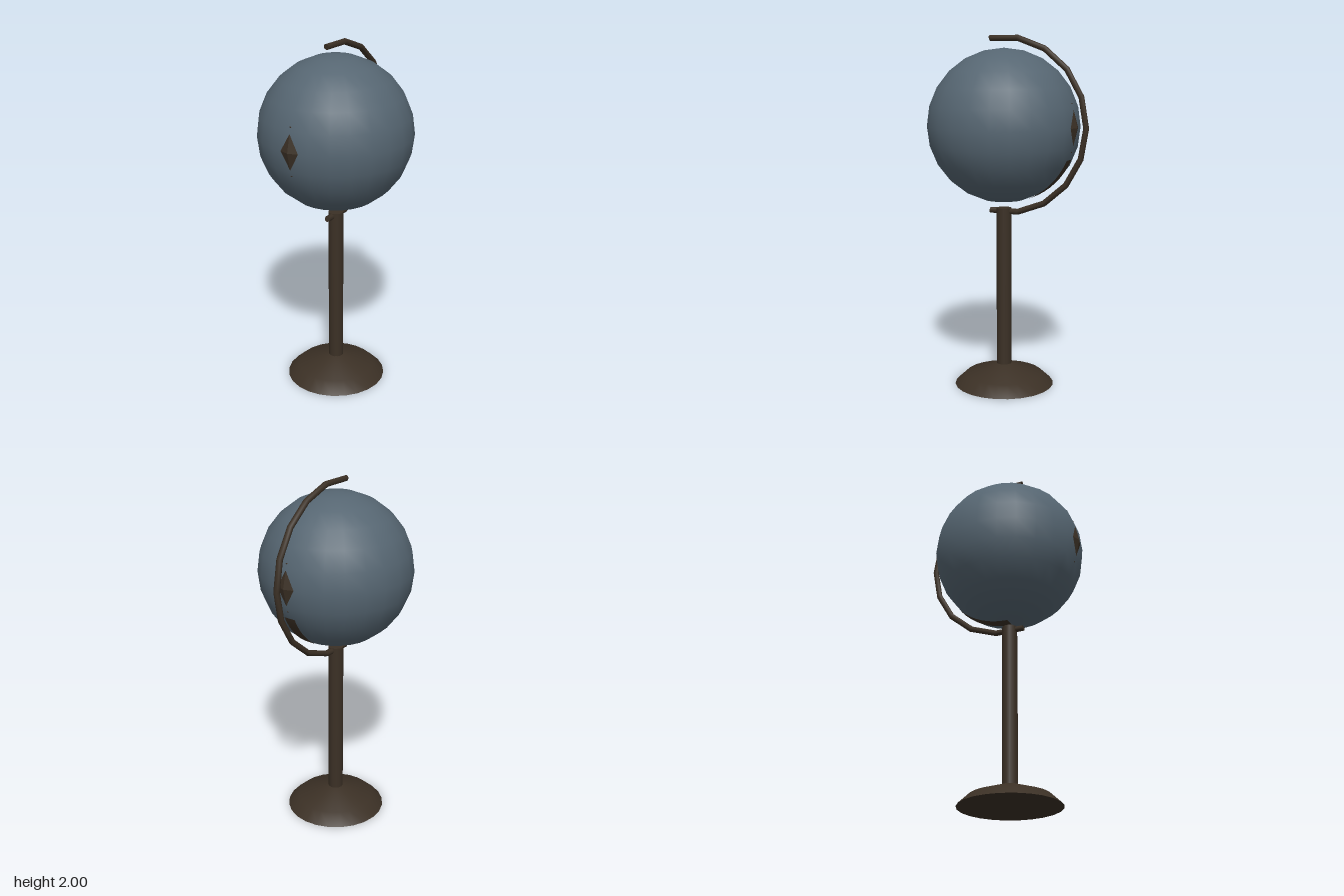
import * as THREE from 'three';

export function createModel() {
  const model = new THREE.Group();
  const blue = new THREE.MeshStandardMaterial({ name: 'slate blue', color: 0x566672 });
  const brown = new THREE.MeshStandardMaterial({ name: 'dark brown', color: 0x3b3025 });
  const rad = THREE.MathUtils.degToRad;

  function add(parent, name, geometry, material, y = 0) {
    const mesh = new THREE.Mesh(geometry, material);
    mesh.name = name;
    mesh.position.y = y;
    parent.add(mesh);
    return mesh;
  }

  // Everything shares one vertical axis, slightly in front of the centre
  const stand = new THREE.Group();
  stand.name = 'globeStand';
  stand.position.z = 0.035;
  model.add(stand);

  // Flared foot with a flat underside
  const footProfile = [[0, 0], [0.285, 0], [0.285, 0], [0.222, 0.058], [0.04, 0.12], [0, 0.12]]
    .map(([x, y]) => new THREE.Vector2(x, y));
  add(stand, 'foot', new THREE.LatheGeometry(footProfile, 24), brown);

  // Column
  add(stand, 'column', new THREE.CylinderGeometry(0.043, 0.043, 0.93, 16), brown, 0.57);

  // Globe
  const globe = new THREE.Group();
  globe.name = 'globe';
  globe.position.y = 1.5;
  stand.add(globe);
  add(globe, 'ball', new THREE.SphereGeometry(0.43, 24, 12), blue);

  // Half-ring holder behind the globe, with closed ends
  const ringRadius = 0.49, tube = 0.017, sweep = rad(200);
  const ring = new THREE.TorusGeometry(ringRadius, tube, 8, 10, sweep);
  ring.rotateZ(-sweep / 2).rotateY(Math.PI / 2);
  add(globe, 'holderArc', ring, brown);
  for (const side of [-1, 1]) {
    const cap = new THREE.CircleGeometry(tube, 8);
    cap.rotateX(-side * Math.PI / 2).translate(ringRadius, 0, 0);
    cap.rotateZ(side * sweep / 2).rotateY(Math.PI / 2);
    add(globe, 'holderEnd', cap, brown);
  }

  // Shallow diamond studs pushed through the globe's surface
  function stud(name, apex, depth, halfWidth, halfHeight, elevation, back) {
    const cone = new THREE.ConeGeometry(1, 1, 4).toNonIndexed();
    cone.scale(halfWidth, depth, halfHeight).rotateX(Math.PI / 2);
    cone.translate(0, 0, apex - depth / 2).rotateX(-rad(elevation));
    if (back) cone.rotateY(Math.PI);
    cone.computeVertexNormals();
    add(globe, name, cone, brown);
  }
  for (const back of [false, true]) {
    stud('diamond', 0.44, 0.025, 0.08, 0.107, 0, back);
    for (const elevation of [-18, 18]) stud('smallMark', 0.431, 0.01, 0.02, 0.012, elevation, back);
  }

  // Narrow band along the lower back of the globe
  const band = new THREE.CylinderGeometry(0.431, 0.431, 0.07, 12, 1, true, rad(204), rad(66));
  band.rotateZ(Math.PI / 2);
  add(globe, 'lowerBand', band, brown);

  return model;
}
